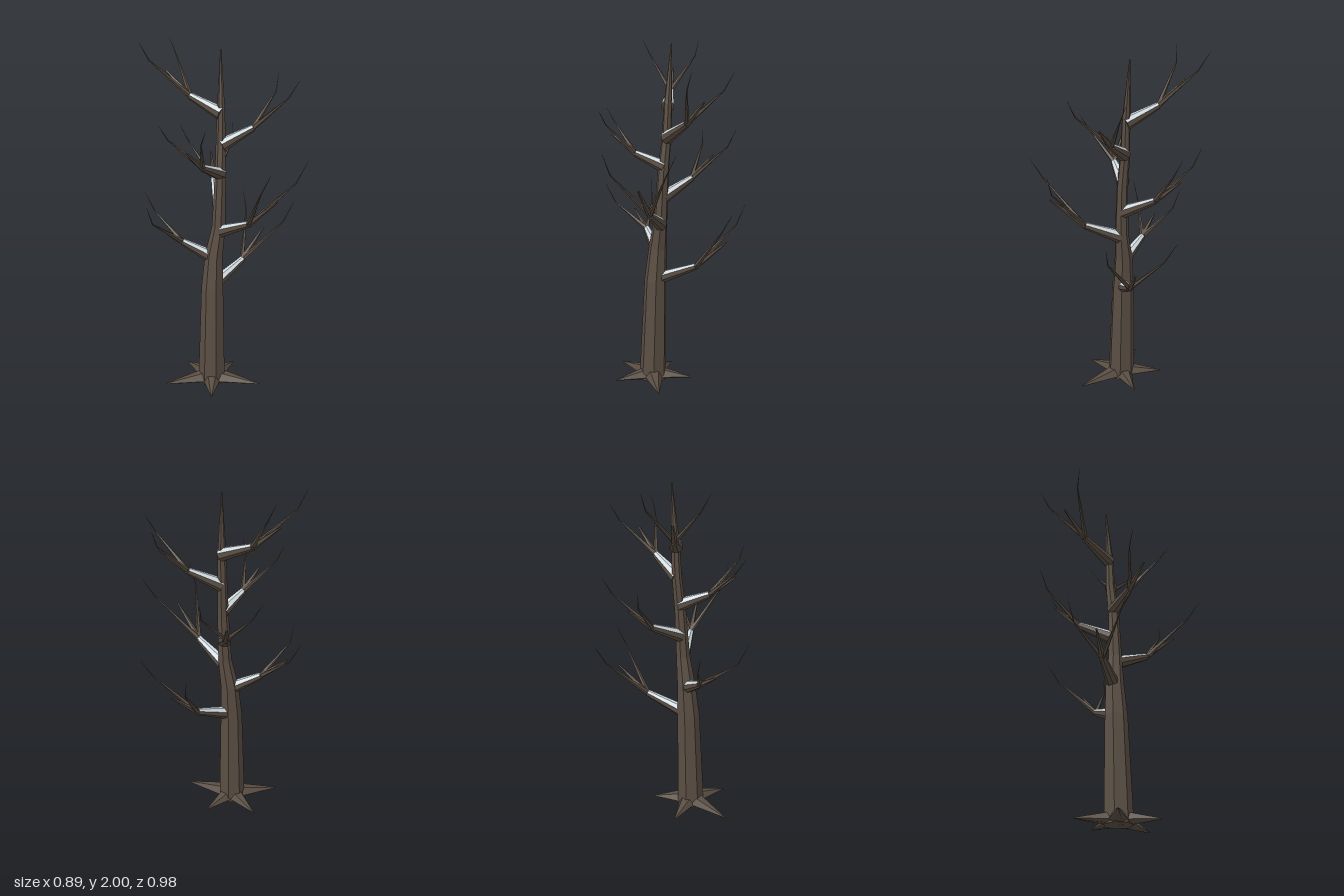
import * as THREE from 'three';

const bark = new THREE.MeshStandardMaterial({ color: 0x5a4e43 });
bark.name = 'bark brown';
const frost = new THREE.MeshStandardMaterial({ color: 0xd0dbe0 });
frost.name = 'frost grey';

const V = (p) => new THREE.Vector3(...p);

// Faceted tapering limb through points; material group 1 holds the upward faces
function loft(points, radii, sides, turn = 0) {
  const pts = points.map(V);
  const rings = pts.map((p, j) => {
    const d = pts[Math.min(j + 1, pts.length - 1)].clone().sub(pts[Math.max(j - 1, 0)]).normalize();
    const ref = Math.abs(d.y) > 0.96 ? new THREE.Vector3(0, 0, 1) : new THREE.Vector3(0, 1, 0);
    const s = ref.cross(d).normalize();
    const u = d.clone().cross(s);
    return Array.from({ length: sides }, (_, i) => {
      const a = turn + (i / sides) * Math.PI * 2;
      const q = p.clone().addScaledVector(s, Math.cos(a) * radii[j]).addScaledVector(u, Math.sin(a) * radii[j]);
      q.y = Math.max(q.y, 0);
      return q;
    });
  });
  const verts = [];
  const geo = new THREE.BufferGeometry();
  const tri = (...c) => c.forEach((v) => verts.push(v.x, v.y, v.z));
  const last = pts.length - 1;
  for (let i = 0; i < sides; i++) {
    const k = (i + 1) % sides;
    const start = verts.length / 3;
    for (let j = 0; j < last; j++) {
      tri(rings[j][i], rings[j][k], rings[j + 1][k]);
      tri(rings[j][i], rings[j + 1][k], rings[j + 1][i]);
    }
    const up = Math.sin(turn + ((i + 0.5) / sides) * Math.PI * 2) > 0.3;
    geo.addGroup(start, verts.length / 3 - start, up ? 1 : 0);
  }
  // End caps
  const start = verts.length / 3;
  for (let i = 0; i < sides; i++) {
    const k = (i + 1) % sides;
    tri(pts[0], rings[0][k], rings[0][i]);
    tri(pts[last], rings[last][i], rings[last][k]);
  }
  geo.addGroup(start, verts.length / 3 - start, 0);
  geo.setAttribute('position', new THREE.Float32BufferAttribute(verts, 3));
  geo.computeVertexNormals();
  return geo;
}

function add(parent, name, geo, topMaterial = bark) {
  const mesh = new THREE.Mesh(geo, [bark, topMaterial]);
  mesh.name = name;
  parent.add(mesh);
}

// Each branch: base, joint, end of the centre twig, then knee and tip [x, z] of two side twigs
const branches = [
  { name: 'lowerLeftBranch', base: [-0.06, 0.613, -0.035], joint: [0.18, 0.708, -0.035], end: [0.363, 0.865, -0.035],
    kneeY: 0.94, tipY: 1.055, sides: [[0.375, -0.19, 0.41, -0.25], [0.375, 0.117, 0.445, 0.137]] },
  { name: 'lowerBackBranch', base: [-0.06, 0.785, -0.04], joint: [-0.18, 0.88, -0.17], end: [-0.297, 0.98, -0.265],
    kneeY: 1.03, tipY: 1.145, sides: [[-0.39, -0.18, -0.445, -0.16], [-0.22, -0.36, -0.25, -0.415]] },
  { name: 'frontBranch', base: [-0.028, 0.945, -0.01], joint: [-0.01, 1.032, 0.195], end: [0, 1.2, 0.39],
    kneeY: 1.275, tipY: 1.395, sides: [[-0.15, 0.41, -0.16, 0.487], [0.156, 0.39, 0.225, 0.418]] },
  { name: 'middleBackBranch', base: [-0.02, 1.1, -0.03], joint: [0.096, 1.197, -0.19], end: [0.188, 1.325, -0.31],
    kneeY: 1.385, tipY: 1.485, sides: [[0.094, -0.4, 0.07, -0.455], [0.3, -0.24, 0.34, -0.28]] },
  { name: 'rightBranch', base: [-0.01, 1.28, -0.025], joint: [-0.178, 1.352, 0], end: [-0.318, 1.46, 0.02],
    kneeY: 1.52, tipY: 1.6, sides: [[-0.346, -0.088, -0.4, -0.094], [-0.305, 0.128, -0.323, 0.18]] },
  { name: 'upperLeftBranch', base: [0, 1.443, -0.03], joint: [0.156, 1.532, 0.065], end: [0.284, 1.655, 0.15],
    kneeY: 1.715, tipY: 1.81, sides: [[0.362, 0.05, 0.41, 0.025], [0.224, 0.263, 0.265, 0.305]] },
  { name: 'upperBackBranch', base: [0.005, 1.62, -0.035], joint: [-0.05, 1.702, -0.227], end: [-0.092, 1.835, -0.385],
    kneeY: 1.905, tipY: 2, sides: [[-0.23, -0.365, -0.284, -0.377], [0.03, -0.43, 0.033, -0.49]] },
];

export function createModel() {
  const tree = new THREE.Group();
  tree.name = 'bareTree';

  // Leaning trunk, narrowing to a point
  add(tree, 'trunk', loft(
    [[-0.085, 0, -0.028], [-0.07, 0.6, -0.034], [-0.056, 0.8, -0.035], [-0.032, 0.97, -0.02],
      [-0.016, 1.25, -0.022], [0, 1.45, -0.035], [0.006, 1.63, -0.038], [0.021, 1.97, -0.055]],
    [0.082, 0.066, 0.053, 0.04, 0.033, 0.028, 0.024, 0.003], 7, 0.2));

  // Five flat roots in a star
  [[-0.34, -0.16], [-0.25, 0.137], [0.055, 0.235], [0.14, -0.07], [-0.06, -0.27]].forEach(([x, z]) => {
    add(tree, 'root', loft([[-0.085, 0.02, -0.028], [x, 0.018, z]], [0.062, 0.003], 6));
  });

  // Branches: limb with frosted top, straight centre twig and two bent side twigs
  branches.forEach((b) => {
    const branch = new THREE.Group();
    branch.name = b.name;
    add(branch, 'limb', loft([b.base, b.joint], [0.039, 0.02], 8, Math.PI / 8), frost);
    add(branch, 'centreTwig', loft([b.joint, b.end], [0.018, 0.005], 5));
    b.sides.forEach(([kx, kz, tx, tz]) => {
      add(branch, 'sideTwig', loft([b.joint, [kx, b.kneeY, kz], [tx, b.tipY, tz]], [0.015, 0.0035, 0.0008], 5));
    });
    tree.add(branch);
  });
  return tree;
}
